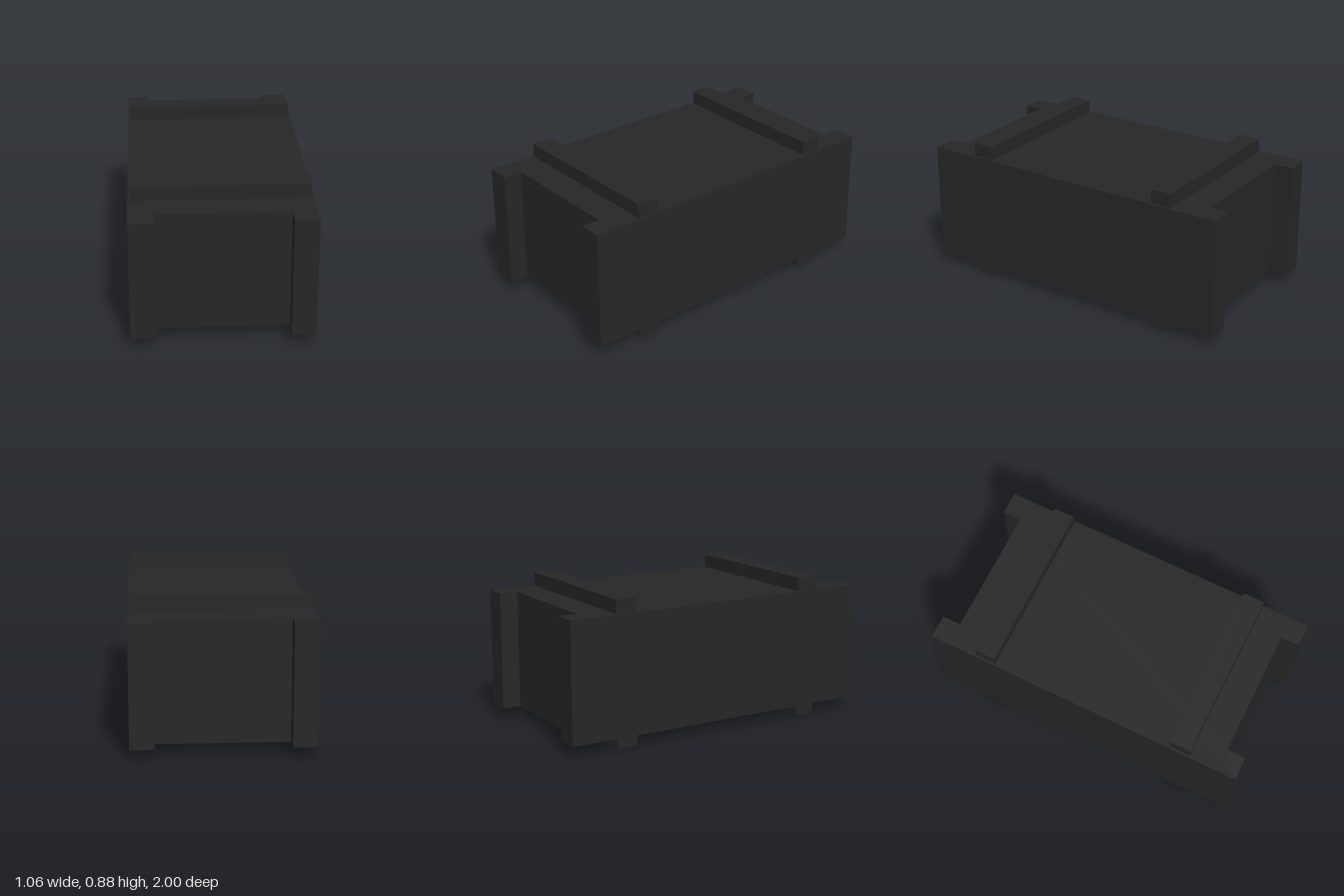
import * as THREE from 'three';

const material = new THREE.MeshStandardMaterial({ color: 0x262626 });

export function createModel() {
  const group = new THREE.Group();
  const bottom = 0.066, top = 0.79, height = 0.875;

  // Crate body: H-shaped plan, side walls run past the recessed ends
  const w = 0.53, inner = 0.388, end = 0.885;
  const plan = new THREE.Shape([
    [-w, -1], [-inner, -1], [-inner, -end], [inner, -end], [inner, -1], [w, -1],
    [w, 1], [inner, 1], [inner, end], [-inner, end], [-inner, 1], [-w, 1],
  ].map(([x, y]) => new THREE.Vector2(x, y)));
  const bodyGeometry = new THREE.ExtrudeGeometry(plan, { depth: top - bottom, bevelEnabled: false });
  bodyGeometry.rotateX(-Math.PI / 2);
  const body = new THREE.Mesh(bodyGeometry, material);
  body.name = 'crateBody';
  body.position.y = bottom;
  group.add(body);

  // Cross battens: two on the lid, two under the base
  const addBatten = (name, y0, y1, z) => {
    const batten = new THREE.Mesh(new THREE.BoxGeometry(1.034, y1 - y0, 0.13), material);
    batten.name = name;
    batten.position.set(0, (y0 + y1) / 2, z);
    group.add(batten);
  };
  for (const side of [1, -1]) {
    const place = side > 0 ? 'front' : 'back';
    addBatten(place + 'LidBatten', top, height, side * 0.639);
    addBatten(place + 'BaseBatten', 0, bottom, side * 0.639);
  }
  return group;
}
